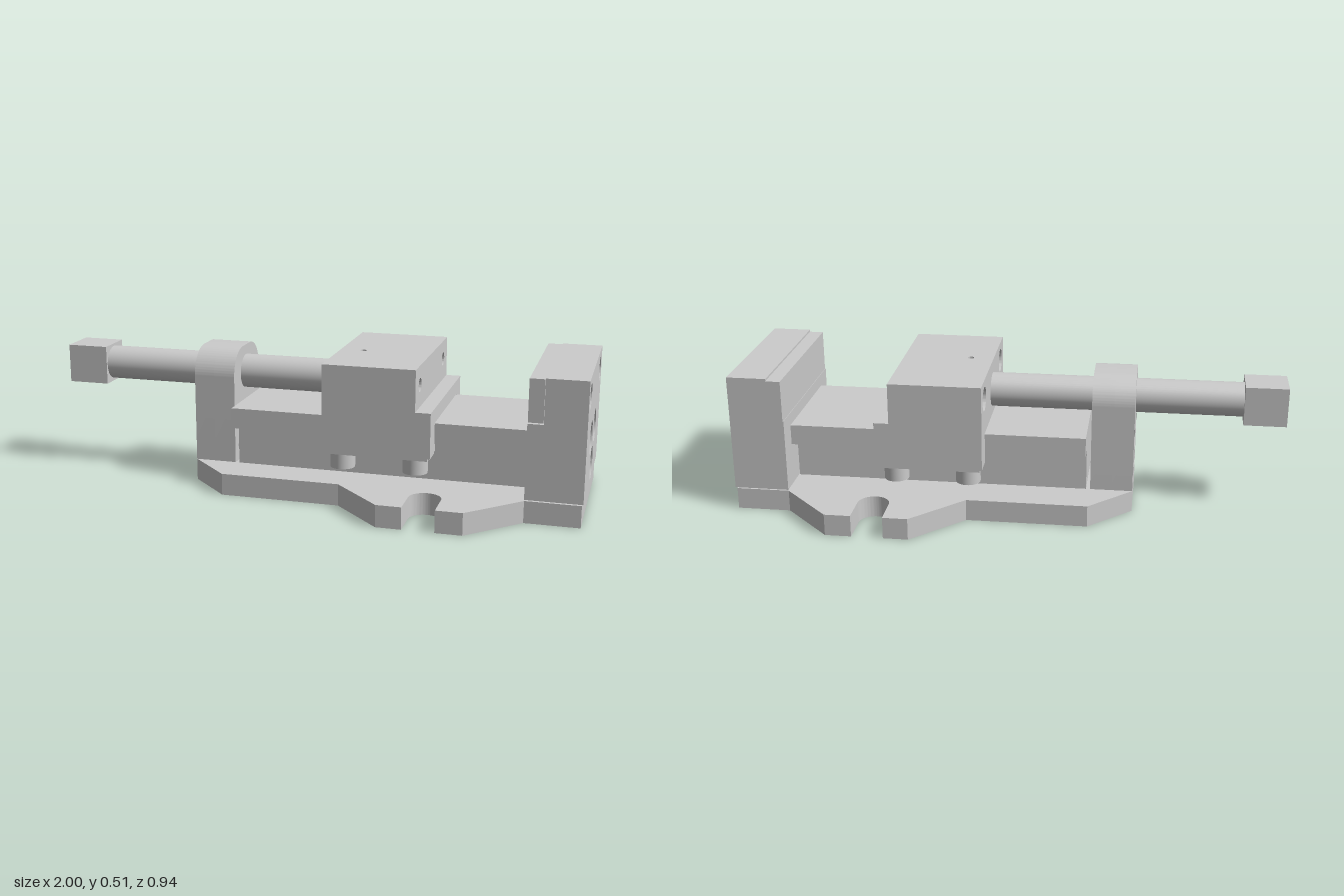
import * as THREE from 'three';
import { toCreasedNormals } from 'three/addons/utils/BufferGeometryUtils.js';

const material = new THREE.MeshStandardMaterial({ color: 0xcccccc });
const hollow = new THREE.MeshStandardMaterial({ color: 0xcccccc, side: THREE.DoubleSide });

export function createModel() {
  const model = new THREE.Group();

  const add = (name, geometry, parent = model, mat = material) => {
    const mesh = new THREE.Mesh(geometry, mat);
    mesh.name = name;
    parent.add(mesh);
    return mesh;
  };
  const group = (name) => {
    const g = new THREE.Group();
    g.name = name;
    model.add(g);
    return g;
  };
  // Box given by its limits on each axis
  const box = (name, [x0, x1], [y0, y1], [z0, z1], parent) => {
    const g = new THREE.BoxGeometry(x1 - x0, y1 - y0, z1 - z0);
    g.translate((x0 + x1) / 2, (y0 + y1) / 2, (z0 + z1) / 2);
    return add(name, g, parent);
  };
  const polygon = (pts) => new THREE.Shape(pts.map(([a, b]) => new THREE.Vector2(a, b)));
  const rect = (a0, a1, b0, b1) => polygon([[a0, b0], [a1, b0], [a1, b1], [a0, b1]]);
  const extrude = (shape, holes, depth) => {
    for (const [a, b, r] of holes) {
      shape.holes.push(new THREE.Path().absarc(a, b, r, 0, Math.PI * 2, true));
    }
    return new THREE.ExtrudeGeometry(shape, { depth, bevelEnabled: false, curveSegments: 24 });
  };
  // Cross-section (z, y) extruded along x
  const slabX = (name, shape, holes, [x0, x1], parent) => {
    const g = extrude(shape, holes, x1 - x0).rotateY(Math.PI / 2).translate(x0, 0, 0);
    return add(name, toCreasedNormals(g, 0.6), parent);
  };
  // Plan (x, -z) extruded upwards
  const slabY = (name, shape, holes, [y0, y1], parent) => {
    const g = extrude(shape, holes, y1 - y0).rotateX(-Math.PI / 2).translate(0, y0, 0);
    return add(name, toCreasedNormals(g, 0.6), parent);
  };

  // Base plate with a clamping slot in each ear
  const plan = new THREE.Shape();
  plan.moveTo(-0.455, -0.14);
  plan.lineTo(-0.3, -0.29);
  plan.lineTo(0.14, -0.29);
  plan.lineTo(0.32, -0.47);
  plan.lineTo(0.41, -0.47);
  plan.lineTo(0.41, -0.357);
  plan.absarc(0.4675, -0.357, 0.0575, Math.PI, 0, true);
  plan.lineTo(0.525, -0.47);
  plan.lineTo(0.62, -0.47);
  plan.lineTo(0.8, -0.29);
  plan.lineTo(0.995, -0.29);
  plan.lineTo(0.995, 0.29);
  plan.lineTo(0.8, 0.29);
  plan.lineTo(0.62, 0.47);
  plan.lineTo(0.525, 0.47);
  plan.lineTo(0.525, 0.357);
  plan.absarc(0.4675, 0.357, 0.0575, 0, -Math.PI, true);
  plan.lineTo(0.41, 0.47);
  plan.lineTo(0.32, 0.47);
  plan.lineTo(0.14, 0.29);
  plan.lineTo(-0.3, 0.29);
  plan.lineTo(-0.455, 0.14);
  const baseHoles = [];
  for (const x of [-0.055, 0.28, 0.615]) for (const z of [-0.1, 0.1]) baseHoles.push([x, z, 0.021]);
  slabY('base', plan, baseHoles, [0, 0.08]);

  // T-shaped slideway
  const rail = group('slideway');
  box('railWeb', [-0.285, 0.8], [0.08, 0.235], [-0.14, 0.14], rail);
  box('railFlange', [-0.285, 0.8], [0.235, 0.31], [-0.215, 0.215], rail);

  // Fixed jaw with counterbored holes
  const fixed = group('fixedJaw');
  const bores = [[-0.215, 0.445, 0.044, 0.025], [0.215, 0.445, 0.044, 0.025],
    [-0.083, 0.265, 0.06, 0.033], [0.083, 0.265, 0.06, 0.033], [0, 0.147, 0.06, 0.033]];
  const wide = bores.map(([z, y, r]) => [z, y, r]);
  const narrow = bores.map(([z, y, , r]) => [z, y, r]);
  slabX('jawOuter', rect(-0.293, 0.293, 0.085, 0.515), wide, [0.93, 1], fixed);
  slabX('jawInner', rect(-0.293, 0.293, 0.085, 0.515), narrow, [0.855, 0.93], fixed);
  box('jawFoot', [0.8, 0.855], [0.085, 0.355], [-0.293, 0.293], fixed);
  box('jawPlate', [0.8, 0.853], [0.357, 0.51], [-0.303, 0.283], fixed);
  // Conical bottoms of the lower holes
  for (const [z, y, r] of narrow.slice(2)) {
    const cone = new THREE.ConeGeometry(r, 0.03, 24, 1, true).rotateZ(Math.PI / 2);
    add('drillTip', cone.translate(0.871, y, -z), fixed, hollow);
  }

  // Moving jaw: saddle over the slideway, stepped on its clamping face
  const moving = group('movingJaw');
  const saddle = (top) => polygon([[-0.293, 0.2], [-0.215, 0.2], [-0.215, 0.312], [0.215, 0.312],
    [0.215, 0.2], [0.293, 0.2], [0.293, top], [-0.293, top]]);
  const plateHoles = (r) => [-0.215, 0.215].map((z) => [z, 0.445, r]);
  slabX('saddleRear', saddle(0.5), plateHoles(0.044), [0.08, 0.25], moving);
  slabX('saddleMiddle', saddle(0.5), plateHoles(0.025), [0.25, 0.415], moving);
  slabX('saddleStep', saddle(0.365), [], [0.415, 0.47], moving);
  slabY('saddleTop', rect(0.08, 0.415, -0.293, 0.293), [[0.165, -0.03, 0.012]], [0.5, 0.515], moving);

  // Keeper strips and their bolts under the saddle
  for (const side of [-1, 1]) {
    const zs = [0.145 * side, 0.288 * side].sort((a, b) => a - b);
    box('keeperStrip', [0.09, 0.46], [0.19, 0.234], zs, moving);
    for (const x of [0.14, 0.405]) {
      const bolt = new THREE.CylinderGeometry(0.045, 0.045, 0.062, 32);
      add('keeperBolt', bolt.translate(x, 0.161, 0.225 * side), moving);
    }
  }

  // Screw post with rounded shoulders and four counterbored holes
  const post = group('screwPost');
  const postShape = () => {
    const s = new THREE.Shape();
    s.moveTo(-0.14, 0.08);
    s.lineTo(0.14, 0.08);
    s.lineTo(0.14, 0.405);
    s.absarc(0.04, 0.405, 0.1, 0, Math.PI / 2, false);
    s.lineTo(-0.04, 0.505);
    s.absarc(-0.04, 0.405, 0.1, Math.PI / 2, Math.PI, false);
    return s;
  };
  const postHoles = (r) => [[-0.085, 0.13, r], [0.085, 0.13, r], [-0.085, 0.265, r], [0.085, 0.265, r]];
  slabX('postOuter', postShape(), postHoles(0.04), [-0.455, -0.38], post);
  slabX('postInner', postShape(), postHoles(0.022), [-0.38, -0.3], post);

  // Lead screw and its square drive
  const shaft = new THREE.CylinderGeometry(0.063, 0.063, 0.945, 48).rotateZ(Math.PI / 2);
  add('screw', shaft.translate(-0.3825, 0.405, 0.004));
  box('screwDrive', [-1, -0.845], [0.332, 0.477], [-0.07, 0.075]);

  return model;
}
